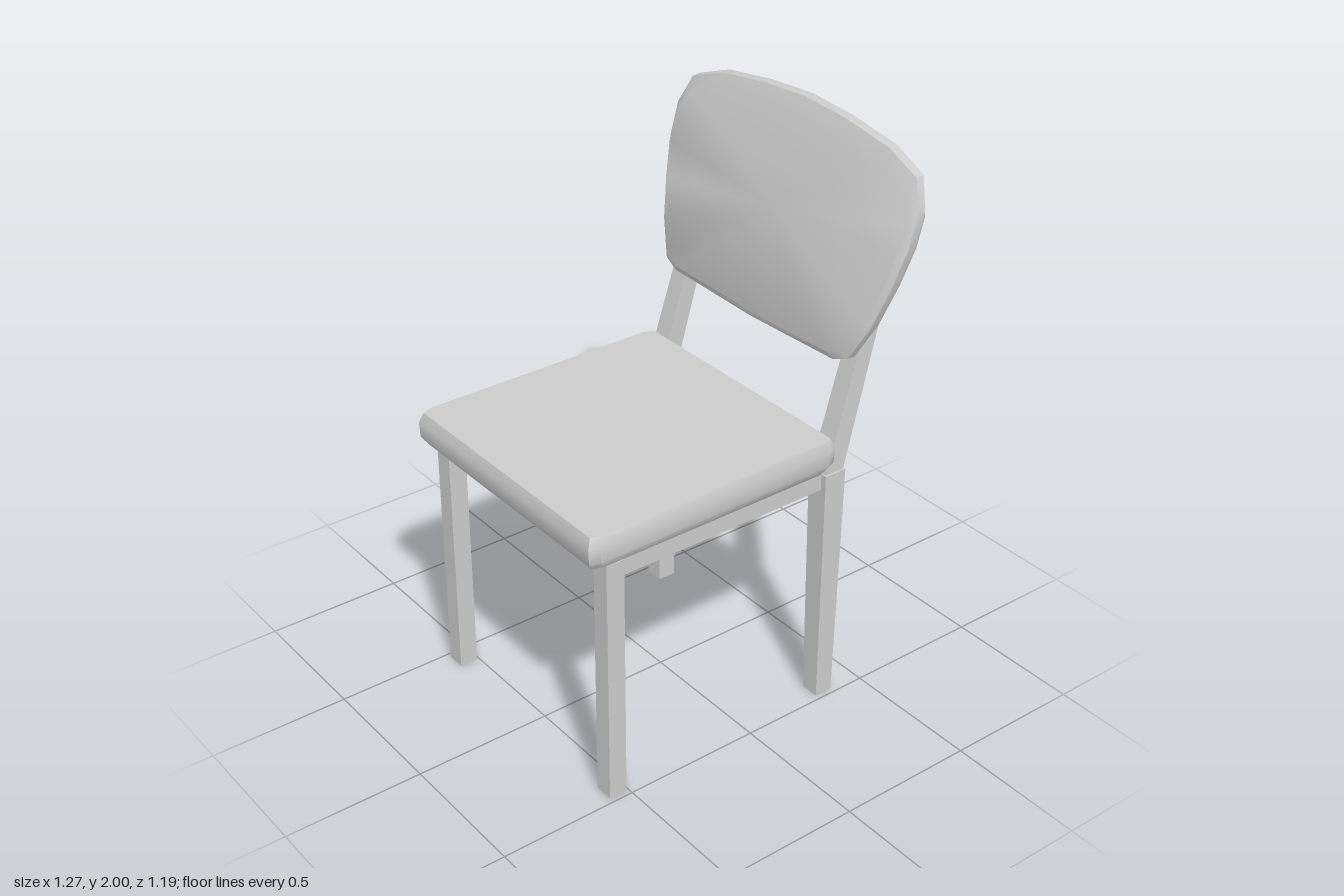
import * as THREE from 'three';
import { toCreasedNormals } from 'three/addons/utils/BufferGeometryUtils.js';

const material = new THREE.MeshStandardMaterial({ color: 0xcccccc });

// Skins a stack of convex rings ([x, y, z] points) and closes both ends.
function loft(name, rings) {
  const pos = [];
  const tri = (a, b, c) => pos.push(...a, ...b, ...c);
  const centre = (r) => [0, 1, 2].map((k) => r.reduce((s, p) => s + p[k], 0) / r.length);
  const n = rings[0].length;
  const first = rings[0], last = rings[rings.length - 1];
  const c0 = centre(first), c1 = centre(last);
  for (let i = 0; i < n; i++) {
    const j = (i + 1) % n;
    for (let r = 0; r < rings.length - 1; r++) {
      const a = rings[r], b = rings[r + 1];
      tri(a[i], a[j], b[j]);
      tri(a[i], b[j], b[i]);
    }
    tri(c0, first[j], first[i]);
    tri(c1, last[i], last[j]);
  }
  const geo = new THREE.BufferGeometry();
  geo.setAttribute('position', new THREE.Float32BufferAttribute(pos, 3));
  const mesh = new THREE.Mesh(toCreasedNormals(geo, 0.7), material);
  mesh.name = name;
  return mesh;
}

// Horizontal rectangle used as a cross-section of legs and posts.
const rect = (y, x0, x1, z0, z1) => [[x0, y, z0], [x0, y, z1], [x1, y, z1], [x1, y, z0]];

function box(name, x0, x1, y0, y1, z0, z1) {
  return loft(name, [rect(y0, x0, x1, z0, z1), rect(y1, x0, x1, z0, z1)]);
}

// Seat cushion cross-section: a rectangle with clipped corners.
function seatRing(y, inset) {
  const x0 = -0.64 + inset, x1 = 0.345 - inset, z = 0.495 - inset * 0.8;
  const cx = 0.035, cz = 0.015;
  return [
    [x0, y, -z + cz], [x0, y, z - cz], [x0 + cx, y, z], [x1 - cx, y, z],
    [x1, y, z - cz], [x1, y, -z + cz], [x1 - cx, y, -z], [x0 + cx, y, -z],
  ];
}

// Backrest outline as [z, y], one half from top centre to bottom centre.
const half = [
  [0, 2.0], [0.2, 1.988], [0.41, 1.96], [0.55, 1.91], [0.595, 1.81], [0.595, 1.7],
  [0.57, 1.56], [0.53, 1.42], [0.47, 1.3], [0.41, 1.275], [0, 1.265],
];
const outline = [...half, ...half.slice(1, -1).reverse().map(([z, y]) => [-z, y])];

// Backrest ring: leaning outline, shifted by dx and shrunk for the bevels.
function backRing(dx, side, top, bottom) {
  return outline.map(([z, y]) => {
    const yy = 1.6 + (y - 1.6) * (y > 1.6 ? top : bottom);
    return [0.394 + 0.288 * (yy - 1.265) + dx, yy, z * side];
  });
}

export function createModel() {
  const chair = new THREE.Group();
  chair.name = 'chair';

  chair.add(loft('seat', [
    seatRing(0.91, 0.022), seatRing(0.94, 0.002), seatRing(0.995, 0), seatRing(1.03, 0.014),
  ]));

  chair.add(loft('backrest', [
    backRing(-0.034, 0.965, 0.82, 0.92), backRing(-0.017, 1, 0.99, 0.99),
    backRing(0.012, 1, 1, 1), backRing(0.032, 0.98, 0.88, 0.97),
  ]));

  // Legs, back posts and side rails on both sides
  for (const s of [1, -1]) {
    const ring = (y, x0, x1, a, b) => (s > 0 ? rect(y, x0, x1, a, b) : rect(y, x0, x1, -b, -a));
    chair.add(
      loft('frontLeg', [ring(0, -0.575, -0.508, 0.412, 0.48), ring(0.91, -0.575, -0.508, 0.412, 0.48)]),
      loft('rearLeg', [ring(0, 0.312, 0.38, 0.412, 0.48), ring(0.9, 0.304, 0.389, 0.403, 0.487)]),
      loft('backPost', [ring(0.9, 0.31, 0.385, 0.405, 0.48), ring(1.8, 0.585, 0.635, 0.4, 0.457)]),
      loft('sideRail', [ring(0.84, -0.51, 0.31, 0.425, 0.465), ring(0.915, -0.51, 0.31, 0.425, 0.465)]),
    );
  }

  chair.add(box('frontRail', -0.56, -0.52, 0.84, 0.915, -0.412, 0.412));
  chair.add(box('rearRail', 0.33, 0.37, 0.84, 0.96, -0.41, 0.41));

  return chair;
}
